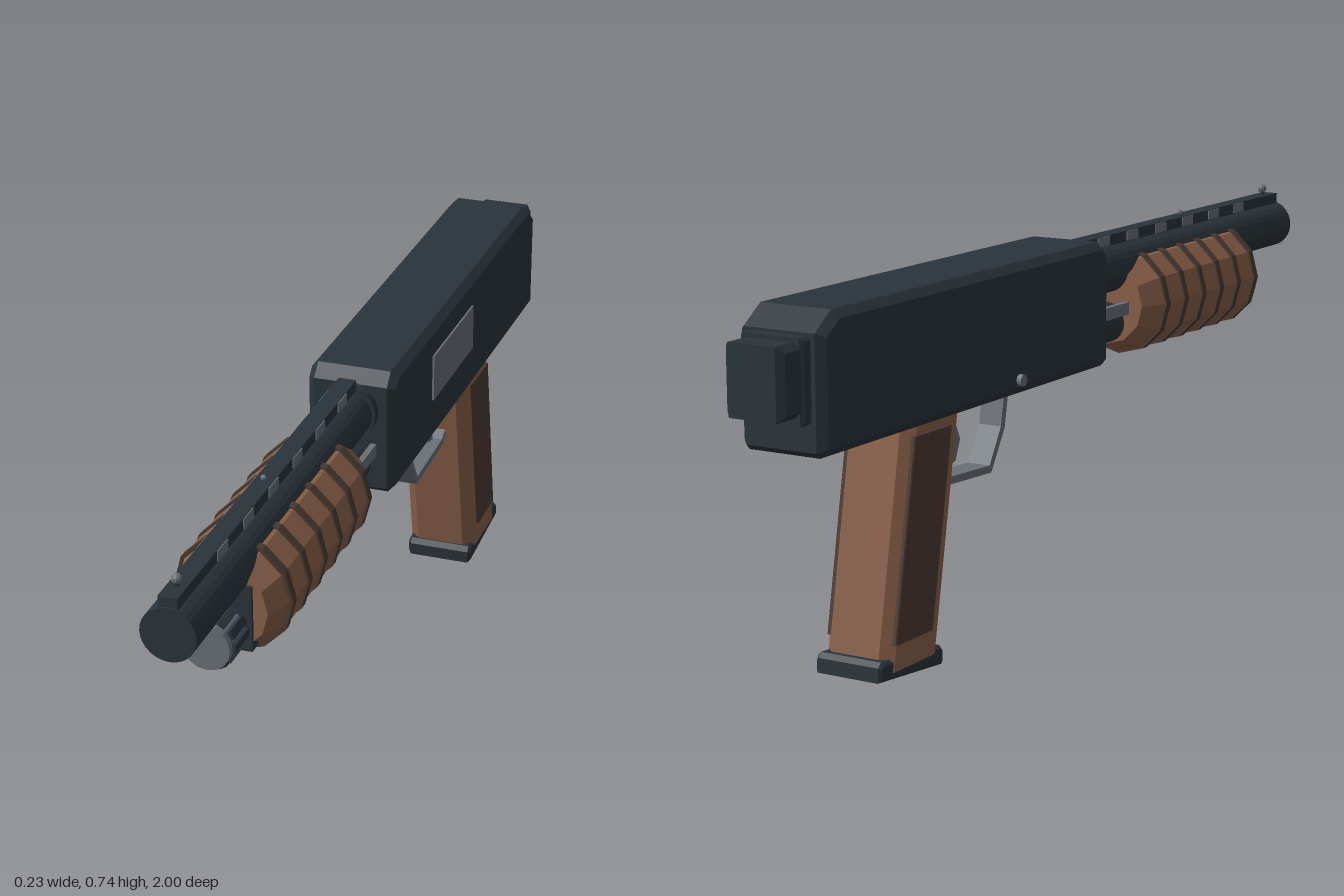
import * as THREE from 'three';

const mat = (name, color, flat = true) => {
  const m = new THREE.MeshStandardMaterial({ color, flatShading: flat });
  m.name = name;
  return m;
};

export function createModel() {
  const group = new THREE.Group();
  const dark = mat('darkMetal', 0x2b343b);
  const steel = mat('steel', 0x697178);
  const wood = mat('wood', 0x8a6049);
  const darkWood = mat('darkWood', 0x4b3a33);

  const add = (name, geo, material, x = 0, y = 0, z = 0) => {
    const m = new THREE.Mesh(geo, material);
    m.name = name;
    m.position.set(x, y, z);
    group.add(m);
    return m;
  };
  const box = (name, material, w, h, d, x, y, z) =>
    add(name, new THREE.BoxGeometry(w, h, d), material, x, y, z);

  // Cylinder lying along z, from z0 to z1
  const rod = (name, material, r, z0, z1, y, sides, x = 0) =>
    add(name, new THREE.CylinderGeometry(r, r, z1 - z0, sides).rotateX(Math.PI / 2), material, x, y, (z0 + z1) / 2);

  // Side outline as [z, y] points, spread to a full width with chamfered sides
  const sideProfile = (name, material, pts, width, bevel = 0) => {
    const shape = new THREE.Shape(pts.map(([z, y]) => new THREE.Vector2(z, y)));
    const depth = width - 2 * bevel;
    const geo = new THREE.ExtrudeGeometry(shape, {
      depth, bevelEnabled: bevel > 0, bevelSegments: 1,
      bevelSize: bevel, bevelThickness: bevel, bevelOffset: -bevel,
    });
    geo.translate(0, 0, -depth / 2).rotateY(-Math.PI / 2);
    return add(name, geo, material);
  };

  // Receiver with a chamfered outline
  sideProfile('receiver', dark, [
    [0.08, 0.485], [0.08, 0.705], [0.055, 0.73], [-0.87, 0.73],
    [-0.92, 0.695], [-0.92, 0.485], [-0.91, 0.475], [0.07, 0.475],
  ], 0.18, 0.015);
  box('ejectionPort', steel, 0.008, 0.098, 0.272, 0.09, 0.62, -0.302);
  box('loadingPlate', dark, 0.1, 0.012, 0.42, 0, 0.473, -0.25);
  const pin = add('safetyButton', new THREE.CylinderGeometry(0.012, 0.012, 0.02, 12), steel, -0.09, 0.505, -0.272);
  pin.rotation.z = Math.PI / 2;

  // Rear cap
  sideProfile('rearFlange', dark, [
    [-0.91, 0.535], [-0.91, 0.69], [-0.945, 0.69], [-0.945, 0.535],
  ].reverse(), 0.132, 0.006);
  sideProfile('rearCap', dark, [
    [-0.92, 0.55], [-0.92, 0.682], [-1, 0.682], [-1, 0.55],
  ].reverse(), 0.124, 0.012);

  // Barrel, rib and sights
  const smoothDark = dark;
  rod('barrel', smoothDark, 0.052, 0.05, 1, 0.65, 28);
  rod('barrelCollar', dark, 0.058, 0.07, 0.1, 0.65, 24);
  box('barrelRib', dark, 0.036, 0.03, 0.9, 0, 0.706, 0.546);
  for (let i = 0; i < 6; i++) {
    for (const s of [-1, 1]) {
      box('ribSlot', steel, 0.003, 0.02, 0.048, s * 0.0185, 0.71, 0.797 - i * 0.1235);
    }
  }
  add('frontSightPost', new THREE.CylinderGeometry(0.005, 0.005, 0.02, 8), dark, 0, 0.726, 0.955);
  add('frontSightBead', new THREE.SphereGeometry(0.01, 10, 8), steel, 0, 0.735, 0.955);
  add('middleSightBead', new THREE.SphereGeometry(0.006, 8, 6), steel, 0, 0.727, 0.55);

  // Tube under the barrel, with a ribbed end cap
  rod('lowerTube', dark, 0.043, 0.05, 0.8, 0.535, 20);
  rod('tubeCap', steel, 0.045, 0.75, 0.84, 0.535, 16);
  for (let i = 0; i < 12; i++) {
    const a = (i / 12) * Math.PI * 2;
    const bar = box('capGrip', dark, 0.012, 0.016, 0.068,
      Math.cos(a) * 0.045, 0.535 + Math.sin(a) * 0.045, 0.792);
    bar.rotation.z = a;
  }
  box('barrelClamp', dark, 0.114, 0.13, 0.03, 0, 0.56, 0.75);
  for (const s of [-1, 1]) box('actionBar', steel, 0.012, 0.026, 0.3, s * 0.048, 0.568, 0.2);

  // Sliding forend: twelve-sided with tapered ends and dark grip rings
  const forend = new THREE.LatheGeometry([
    [0, 0.225], [0.085, 0.225], [0.11, 0.28], [0.11, 0.7], [0.085, 0.758], [0, 0.758],
  ].map(([r, z]) => new THREE.Vector2(r, z)), 12).rotateX(Math.PI / 2);
  add('forend', forend, wood, 0, 0.573, 0);
  for (let i = 0; i < 6; i++) rod('forendRing', darkWood, 0.114, 0.28 + i * 0.082, 0.298 + i * 0.082, 0.573, 12);

  // Trigger guard strap and trigger
  sideProfile('triggerGuard', steel, [
    [-0.205, 0.48], [-0.222, 0.395], [-0.272, 0.315], [-0.455, 0.323], [-0.49, 0.345],
    [-0.485, 0.36], [-0.45, 0.338], [-0.278, 0.33], [-0.236, 0.4], [-0.22, 0.48],
  ], 0.05);
  sideProfile('trigger', steel, [
    [-0.385, 0.48], [-0.39, 0.445], [-0.368, 0.4], [-0.385, 0.36], [-0.415, 0.353],
    [-0.395, 0.405], [-0.42, 0.45], [-0.425, 0.48],
  ], 0.03);

  // Grip: chamfered column leaning back toward its foot
  const lean = 0.19;
  const leaningBlock = (name, material, w, zFront, zBack, y0, y1, c) => {
    const hw = w / 2, a = -zFront, b = -zBack;
    const pts = [[-hw + c, a], [hw - c, a], [hw, a + c], [hw, b - c], [hw - c, b], [-hw + c, b], [-hw, b - c], [-hw, a + c]];
    const shape = new THREE.Shape(pts.map(p => new THREE.Vector2(...p)));
    const geo = new THREE.ExtrudeGeometry(shape, { depth: y1 - y0, bevelEnabled: false });
    geo.rotateX(-Math.PI / 2).translate(0, y0, 0);
    const p = geo.attributes.position;
    for (let i = 0; i < p.count; i++) p.setZ(i, p.getZ(i) - lean * (0.475 - p.getY(i)));
    geo.computeVertexNormals();
    return add(name, geo, material);
  };
  leaningBlock('grip', wood, 0.148, -0.448, -0.628, 0.03, 0.49, 0.022);
  leaningBlock('gripPanels', darkWood, 0.154, -0.488, -0.612, 0.08, 0.457, 0.002);

  // Foot plate
  const foot = sideProfile('gripFoot', dark, [
    [0.105, -0.018], [0.105, 0.01], [0.095, 0.02], [-0.1, 0.02], [-0.108, 0.01], [-0.108, -0.018],
  ], 0.145, 0.006);
  foot.position.set(0, 0.028, -0.624);
  foot.rotation.x = 0.09;

  return group;
}
